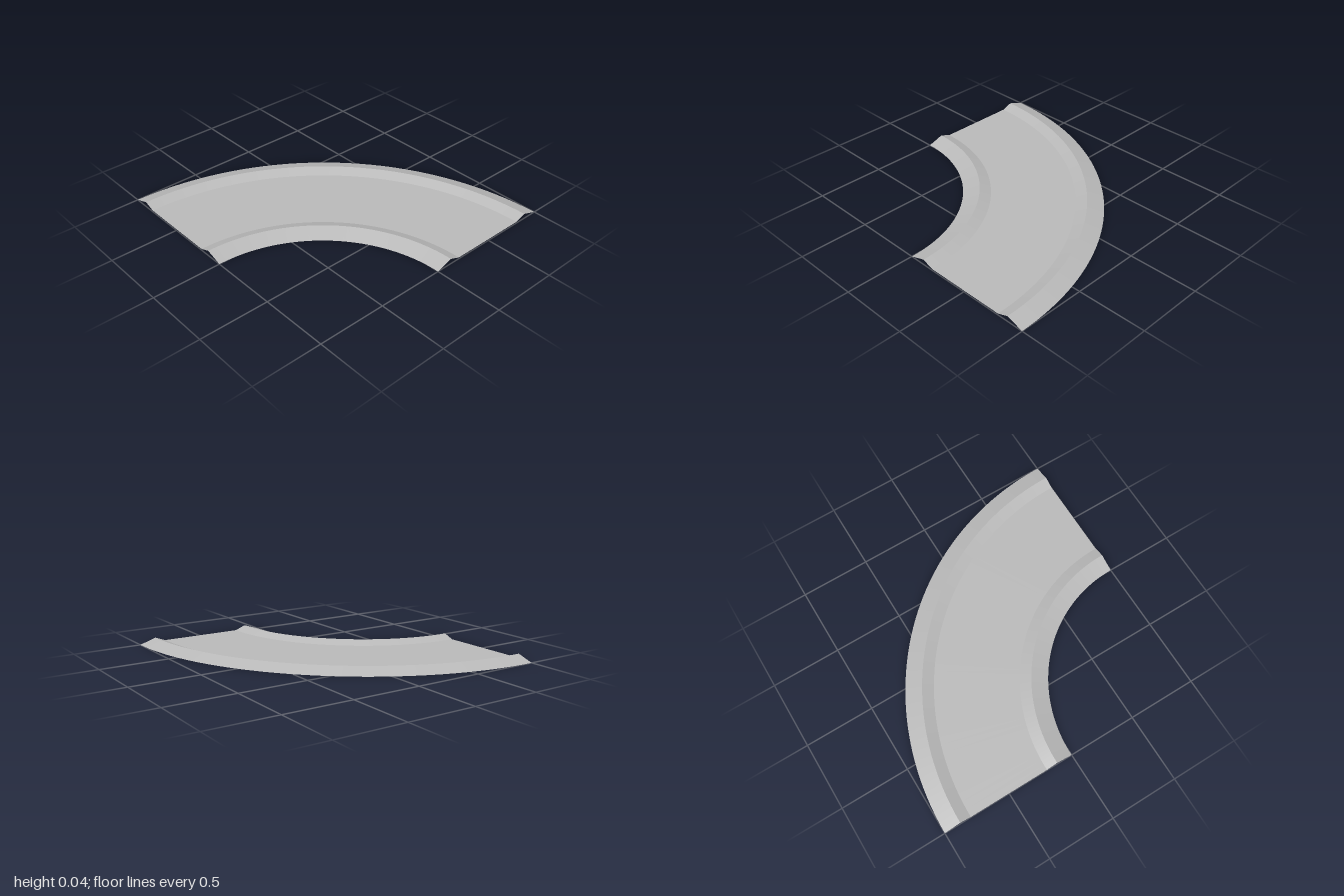
import * as THREE from 'three';

// Quarter-circle curved track: a thin open sheet with a raised kerb on each side.
export function createModel() {
  const model = new THREE.Group();
  model.name = 'curvedTrack';

  const grey = new THREE.MeshStandardMaterial({ color: 0xb8b8b8, side: THREE.DoubleSide });
  grey.name = 'concrete grey';

  // Each strip sweeps a line from its outer [radius, height] to its inner one,
  // so it is smooth along the bend and creased against its neighbours.
  const strip = (name, outer, inner) => {
    const profile = [new THREE.Vector2(...outer), new THREE.Vector2(...inner)];
    const geometry = new THREE.LatheGeometry(profile, 48, Math.PI / 2, Math.PI / 2);
    const mesh = new THREE.Mesh(geometry, grey);
    mesh.name = name;
    mesh.position.set(-1, 0, 1); // centre of the bend
    model.add(mesh);
  };

  const names = ['outerBank', 'outerKerbSlope', 'roadSurface', 'innerKerbSlope', 'innerBank'];
  const section = [[2, 0], [1.88, 0.04], [1.8, 0.01], [1.2, 0.01], [1.12, 0.04], [1, 0]];
  names.forEach((name, i) => strip(name, section[i], section[i + 1]));

  return model;
}
